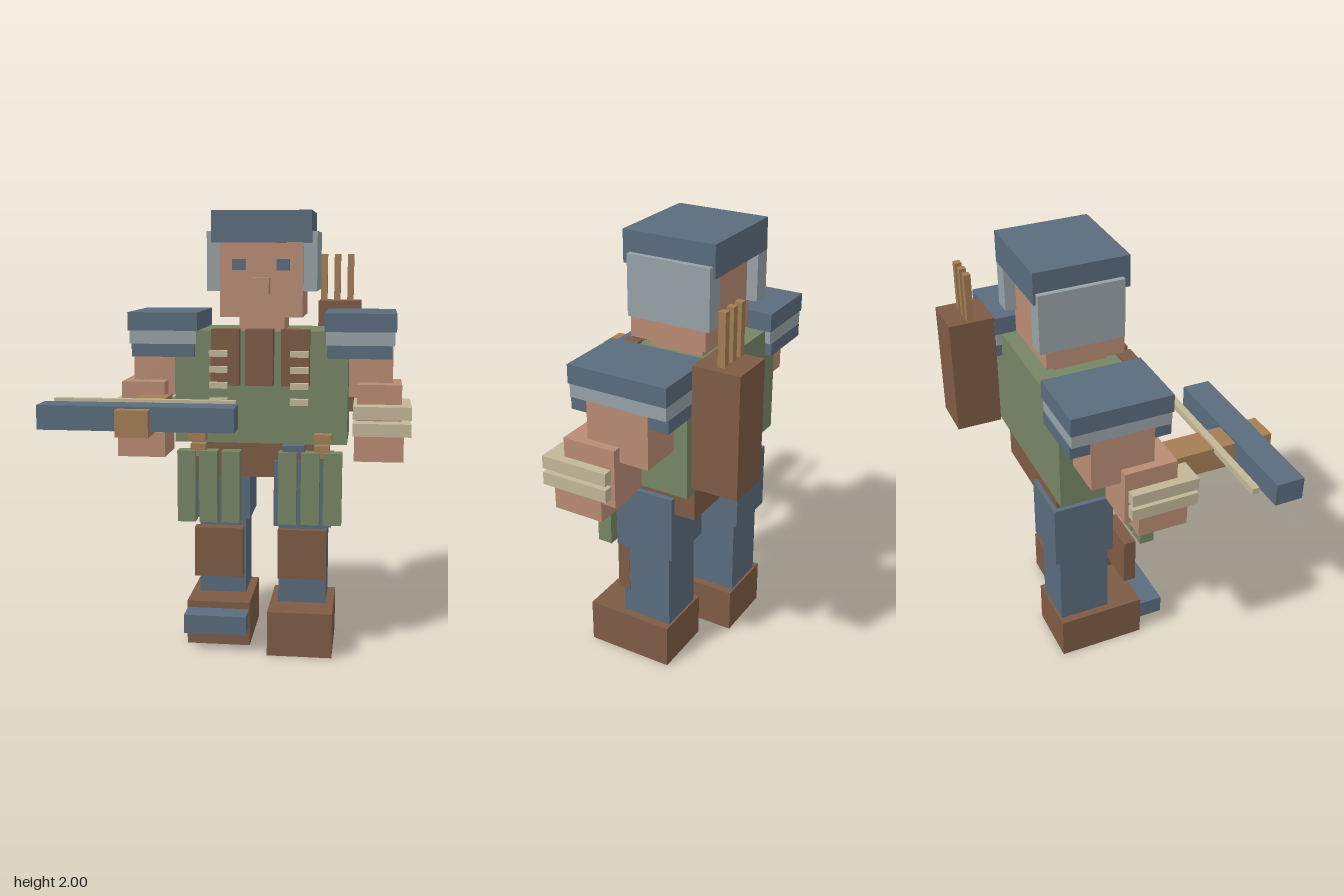
import * as THREE from 'three';

const paint = (name, color) => {
  const m = new THREE.MeshStandardMaterial({ color });
  m.name = name;
  return m;
};

export function createModel() {
  const model = new THREE.Group();
  model.name = 'blockyCrossbowman';

  const steel = paint('steelBlue', 0x5a6c7d);
  const silver = paint('silverGrey', 0x97a2a7);
  const skin = paint('skin', 0xb98c73);
  const green = paint('olive', 0x768665);
  const brown = paint('leatherBrown', 0x7e5b45);
  const tan = paint('wood', 0xa47d54);
  const cream = paint('cream', 0xc2b797);

  // A box given by its extents along each axis
  const box = (name, mat, x0, x1, y0, y1, z0, z1) => {
    const mesh = new THREE.Mesh(new THREE.BoxGeometry(x1 - x0, y1 - y0, z1 - z0), mat);
    mesh.position.set((x0 + x1) / 2, (y0 + y1) / 2, (z0 + z1) / 2);
    mesh.name = name;
    model.add(mesh);
  };
  // The body is mirrored about its own middle, off the origin
  const mid = 0.106;
  const pair = (name, mat, d0, d1, ...yz) => {
    box(name + 'Left', mat, mid + d0, mid + d1, ...yz);
    box(name + 'Right', mat, mid - d1, mid - d0, ...yz);
  };

  // Head
  box('head', skin, -0.08, 0.292, 1.53, 1.88, -0.31, 0.047);
  box('cap', steel, -0.118, 0.33, 1.86, 2, -0.37, 0.053);
  box('nose', skin, 0.067, 0.147, 1.635, 1.707, 0.047, 0.118);
  pair('eye', steel, 0.07, 0.128, 1.738, 1.788, 0.04, 0.07);
  pair('cheekGuard', silver, 0.165, 0.248, 1.645, 1.91, -0.36, 0.021);
  box('neck', skin, 0.003, 0.208, 1.45, 1.54, -0.25, 0.0);

  // Torso and hips
  box('tunic', green, -0.286, 0.498, 0.958, 1.468, -0.345, 0.053);
  box('hips', brown, -0.195, 0.407, 0.8, 0.96, -0.33, 0.045);

  // Chest pouches with rows of bolts on the outer two
  for (const x of [-0.11, 0.042, 0.203]) box('chestPouch', brown, x, x + 0.125, 1.228, 1.48, 0.05, 0.12);
  for (let i = 0; i < 4; i++) {
    const y = 1.36 - i * 0.071;
    pair('chestBolt', cream, 0.14, 0.221, y, y + 0.027, 0.118, 0.153);
  }

  // Belt fittings
  pair('beltBuckle', tan, 0.245, 0.325, 0.973, 1.01, 0.05, 0.105);
  pair('beltStrap', tan, 0.247, 0.315, 0.9, 0.957, 0.045, 0.095);
  box('beltClasp', steel, 0.21, 0.31, 0.915, 0.957, 0.045, 0.1);

  // Hanging skirt plates
  for (const d of [0.087, 0.19, 0.29]) pair('skirtPlate', green, d, d + 0.083, 0.598, 0.928, 0.052, 0.12);

  // Shoulder armour and arms
  pair('shoulderTop', steel, 0.285, 0.604, 1.468, 1.55, -0.375, 0.077);
  pair('shoulderBand', silver, 0.292, 0.597, 1.408, 1.468, -0.37, 0.073);
  pair('shoulderRim', steel, 0.299, 0.586, 1.35, 1.408, -0.375, 0.077);
  pair('upperArm', skin, 0.395, 0.592, 1.17, 1.41, -0.285, 0);
  pair('forearm', skin, 0.434, 0.632, 0.98, 1.237, -0.152, 0.09);
  pair('hand', skin, 0.425, 0.643, 0.9, 1.04, -0.09, 0.14);
  pair('wristBand', cream, 0.418, 0.674, 1.093, 1.15, -0.135, 0.173);
  pair('wristBand', cream, 0.418, 0.674, 1.018, 1.075, -0.135, 0.173);

  // Legs: the right one steps back by its z offset
  for (const [side, x, z] of [['Left', 0.3, 0], ['Right', -0.086, -0.118]]) {
    box('thigh' + side, steel, x - 0.132, x + 0.132, 0.573, 0.88, z - 0.232, z + 0.052);
    box('shin' + side, steel, x - 0.11, x + 0.11, 0.2, 0.58, z - 0.205, z + 0.034);
    box('shinGuard' + side, brown, x - 0.112, x + 0.112, 0.325, 0.558, 0.003, 0.062);
    box('boot' + side, brown, x - 0.147, x + 0.147, 0, 0.206, z - 0.215, z + 0.195);
  }
  box('toePlate', steel, -0.23, 0.056, 0.088, 0.175, 0.06, 0.19);

  // Crossbow held in the right hand
  box('crossbowStock', tan, -0.44, -0.3, 1.065, 1.178, 0.05, 0.597);
  box('crossbowLimbs', steel, -0.785, 0.049, 1.083, 1.187, 0.417, 0.547);
  box('crossbowString', cream, -0.768, 0.028, 1.16, 1.19, 0.31, 0.342);

  // Quiver with arrows behind the left shoulder
  box('quiver', brown, 0.34, 0.545, 1.047, 1.585, -0.6, -0.392);
  for (let i = 0; i < 3; i++) {
    const x = 0.348 + i * 0.064;
    box('arrow', tan, x, x + 0.031, 1.5, 1.81, -0.513, -0.482);
  }

  return model;
}
